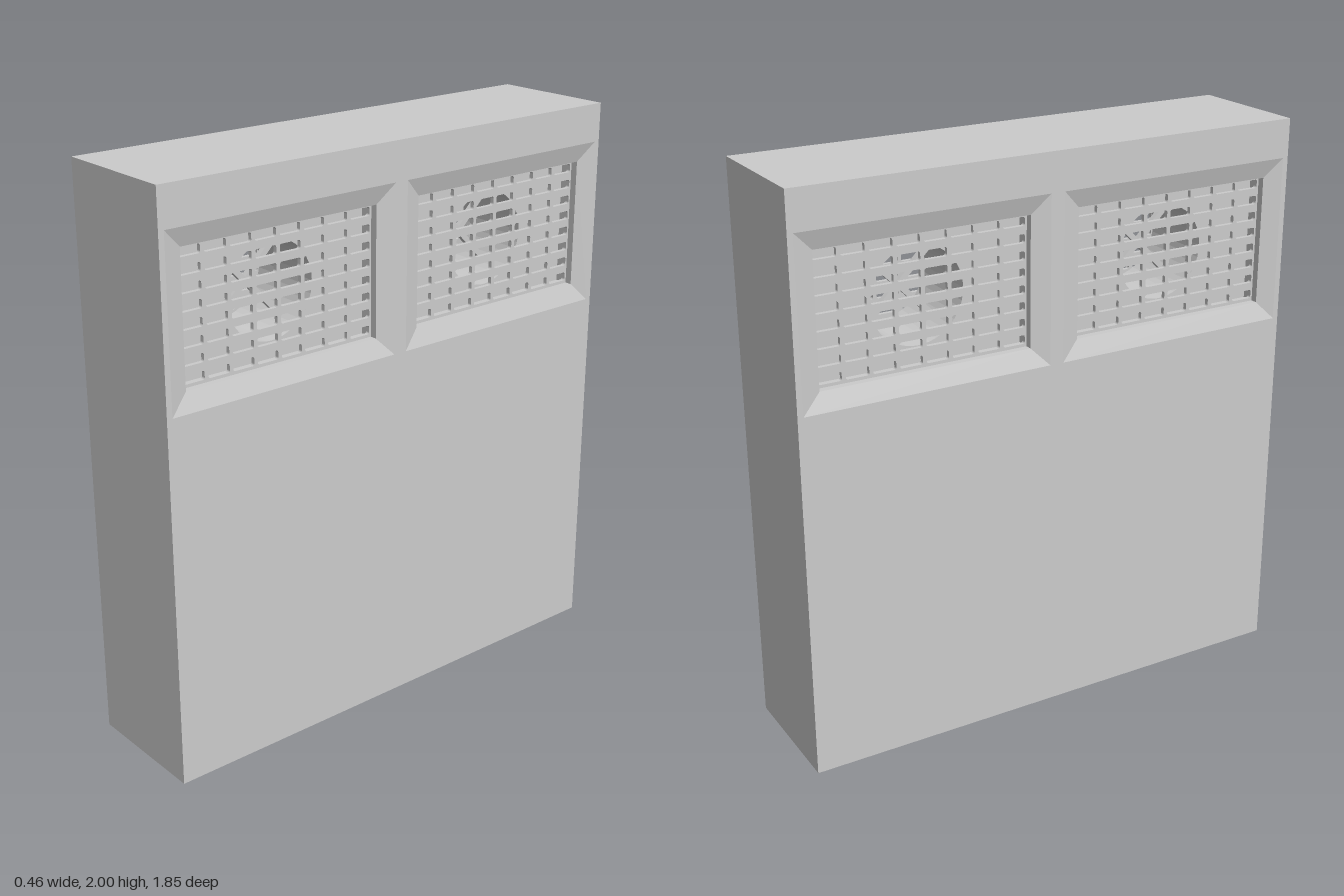
import * as THREE from 'three';

const W = 1.85, H = 2, D = 0.46;          // cabinet, seen from its vented side
const VENT = { u: 0.465, y: 1.575, w: 0.75, h: 0.45, lip: 0.065 };
const FAN_R = 0.166, CORE_DEPTH = 0.09;

const grey = new THREE.MeshStandardMaterial({ color: 0xcccccc });

function mesh(name, geometry, parent) {
  const m = new THREE.Mesh(geometry, grey);
  m.name = name;
  parent.add(m);
  return m;
}

function rect(path, cx, cy, w, h, r = 0) {
  const x = w / 2, y = h / 2;
  if (r === 0) {
    path.moveTo(cx - x, cy - y).lineTo(cx + x, cy - y);
    path.lineTo(cx + x, cy + y).lineTo(cx - x, cy + y).closePath();
    return path;
  }
  path.absarc(cx + x - r, cy - y + r, r, -Math.PI / 2, 0);
  path.absarc(cx + x - r, cy + y - r, r, 0, Math.PI / 2);
  path.absarc(cx - x + r, cy + y - r, r, Math.PI / 2, Math.PI);
  path.absarc(cx - x + r, cy - y + r, r, Math.PI, Math.PI * 1.5);
  path.closePath();
  return path;
}

function slab(shape, depth, curveSegments) {
  return new THREE.ExtrudeGeometry(shape, { depth, bevelEnabled: false, curveSegments });
}

// Mitred frame: rectangular loops [width, height, z] joined by flat faces
function frameGeometry(loops) {
  const corners = loops.map(([w, h, z]) => [[-1, -1], [1, -1], [1, 1], [-1, 1]]
    .map(([sx, sy]) => [sx * w / 2, sy * h / 2, z]));
  const pos = [];
  for (let i = 0; i < corners.length - 1; i++) {
    for (let k = 0; k < 4; k++) {
      const n = (k + 1) % 4, a = corners[i], b = corners[i + 1];
      pos.push(...a[k], ...a[n], ...b[n], ...a[k], ...b[n], ...b[k]);
    }
  }
  const g = new THREE.BufferGeometry();
  g.setAttribute('position', new THREE.Float32BufferAttribute(pos, 3));
  g.computeVertexNormals();
  return g;
}

// Grille plate with 8 x 8 rounded slots
function grilleGeometry() {
  const shape = rect(new THREE.Shape(), 0, 0, VENT.w, VENT.h);
  for (let c = 0; c < 8; c++) {
    for (let r = 0; r < 8; r++) {
      shape.holes.push(rect(new THREE.Path(), (c - 3.5) * 0.0937, (r - 3.5) * 0.057, 0.08, 0.03, 0.007));
    }
  }
  return slab(shape, 0.015, 3);
}

export function createModel() {
  const model = new THREE.Group();
  model.name = 'ventilatedCabinet';
  const unit = new THREE.Group();
  unit.name = 'cabinet';
  unit.rotation.y = Math.PI / 2;
  model.add(unit);

  const openW = VENT.w + 2 * VENT.lip, openH = VENT.h + 2 * VENT.lip;

  // Cabinet body with two vent openings right through
  const body = rect(new THREE.Shape(), 0, H / 2, W, H);
  for (const s of [-1, 1]) {
    body.holes.push(rect(new THREE.Path(), s * VENT.u, VENT.y, openW, openH));
  }
  mesh('body', slab(body, D, 1), unit).position.z = -D / 2;

  const frame = frameGeometry([
    [openW, openH, 0], [VENT.w, VENT.h, -0.02], [VENT.w, VENT.h, -CORE_DEPTH],
  ]);
  const grille = grilleGeometry();

  // Inner block with the round fan duct
  const core = rect(new THREE.Shape(), 0, 0, openW, openH);
  core.holes.push(new THREE.Path().absarc(0, 0, FAN_R, 0, Math.PI * 2));
  const coreGeometry = slab(core, D - 2 * CORE_DEPTH, 24);

  for (const s of [-1, 1]) {
    const bay = new THREE.Group();
    bay.name = 'ventBay';
    bay.position.set(s * VENT.u, VENT.y, 0);
    unit.add(bay);

    mesh('fanDuct', coreGeometry, bay).position.z = -D / 2 + CORE_DEPTH;

    // Diagonal fan blades crossing the duct
    for (const angle of [Math.PI / 4, -Math.PI / 4]) {
      const blade = mesh('fanBlade', new THREE.BoxGeometry(FAN_R * 2, 0.02, 0.02), bay);
      blade.rotation.z = angle;
    }

    // Frame and grille on each face
    for (const turn of [0, Math.PI]) {
      const face = new THREE.Group();
      face.name = 'vent';
      face.rotation.y = turn;
      mesh('ventFrame', frame, face).position.z = D / 2;
      mesh('ventGrille', grille, face).position.z = D / 2 - 0.06;
      bay.add(face);
    }
  }
  return model;
}
